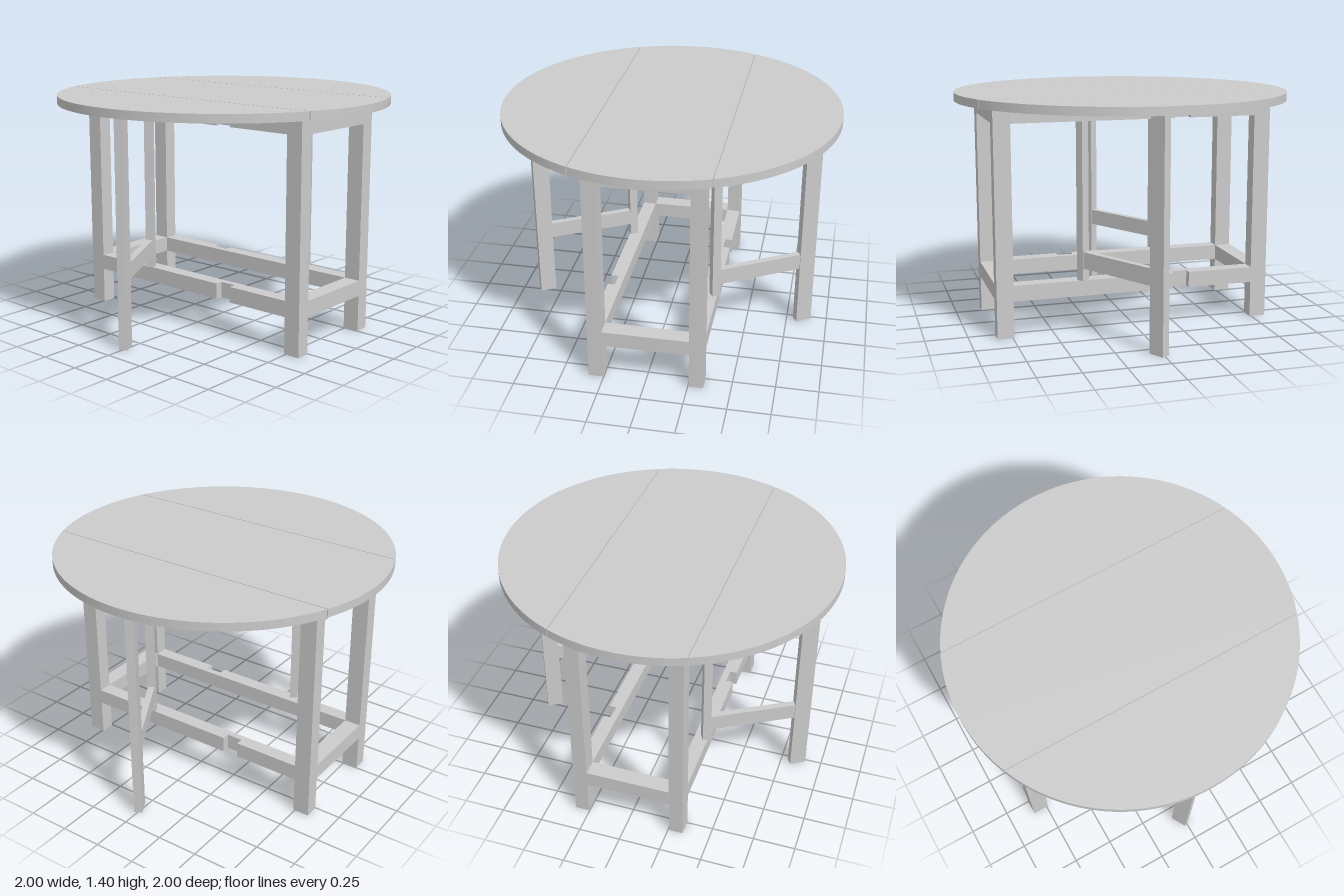
import * as THREE from 'three';
import { toCreasedNormals } from 'three/addons/utils/BufferGeometryUtils.js';

const material = new THREE.MeshStandardMaterial({ color: 0xcccccc });

const H = 1.35;                      // underside of the top
const TOP = 0.05;                    // top thickness
const SPLIT = 0.385, GAP = 0.0025;   // leaf joint position, half gap
const LEG_IN = 0.255, LEG_OUT = 0.34, LEG_Z0 = 0.74, LEG_Z1 = 0.84;
const RAILS = [[0.22, 0.315], [1.255, H]];

function add(parent, name, geometry) {
  const mesh = new THREE.Mesh(geometry, material);
  mesh.name = name;
  parent.add(mesh);
  return mesh;
}

// Box given by its min and max on each axis
function box(parent, name, x0, x1, y0, y1, z0, z1) {
  const mesh = add(parent, name, new THREE.BoxGeometry(x1 - x0, y1 - y0, z1 - z0));
  mesh.position.set((x0 + x1) / 2, (y0 + y1) / 2, (z0 + z1) / 2);
  return mesh;
}

// Plan outline (x, -z) raised from y0 by a height
function slab(parent, name, shape, y0, height, curveSegments = 1) {
  const g = new THREE.ExtrudeGeometry(shape, { depth: height, bevelEnabled: false, curveSegments });
  g.rotateX(-Math.PI / 2);
  g.translate(0, y0, 0);
  return add(parent, name, toCreasedNormals(g, 0.4));
}

// Round top in three pieces: fixed centre and two drop leaves
function buildTop() {
  const top = new THREE.Group();
  top.name = 'tableTop';

  const a = Math.acos(SPLIT - GAP);
  const centre = new THREE.Shape();
  centre.absarc(0, 0, 1, a, Math.PI - a, false);
  centre.absarc(0, 0, 1, Math.PI + a, 2 * Math.PI - a, false);
  slab(top, 'centreTop', centre, H, TOP, 32);

  const b = Math.acos(SPLIT + GAP);
  for (const [name, turn] of [['leftLeaf', 0], ['rightLeaf', Math.PI]]) {
    const leaf = new THREE.Shape();
    leaf.absarc(0, 0, 1, turn - b, turn + b, false);
    slab(top, name, leaf, H, TOP, 64);
  }
  return top;
}

// Hinge: two thin plates and a knuckle under the joint
function buildHinge(z) {
  const hinge = new THREE.Group();
  hinge.name = 'hinge';
  box(hinge, 'hingePlate', -0.03, 0.03, H - 0.004, H, -0.065, 0.065);
  const knuckle = add(hinge, 'hingeKnuckle', new THREE.CylinderGeometry(0.007, 0.007, 0.13, 12));
  knuckle.rotation.x = Math.PI / 2;
  knuckle.position.y = H - 0.007;
  hinge.position.set(SPLIT, 0, z);
  return hinge;
}

// Swinging gate: pivot stile, rail and foot, along local +x
function buildGate() {
  const gate = new THREE.Group();
  gate.name = 'gateLeg';
  box(gate, 'gateStile', -0.025, 0.025, RAILS[0][1], RAILS[1][0], -0.025, 0.025);
  box(gate, 'gateRail', 0.025, 0.552, 0.39, 0.49, -0.02, 0.02);
  box(gate, 'gateFoot', 0.552, 0.652, 0, H, -0.025, 0.025);
  gate.position.set(0.324, 0, 0.3225);
  gate.rotation.y = Math.PI / 6;
  return gate;
}

// One long side: two legs, notched rails, gate and hinges
function buildSide(name) {
  const side = new THREE.Group();
  side.name = name;
  box(side, 'leg', LEG_IN, LEG_OUT, 0, H, LEG_Z0, LEG_Z1);
  box(side, 'leg', LEG_IN, LEG_OUT, 0, H, -LEG_Z1, -LEG_Z0);

  // Rail outline with a notch that receives the closed gate foot
  const notch = 0.295;
  const outline = new THREE.Shape([
    [LEG_IN, -LEG_Z0], [LEG_OUT, -LEG_Z0], [LEG_OUT, 0.235], [notch, 0.235],
    [notch, 0.335], [LEG_OUT, 0.335], [LEG_OUT, LEG_Z0], [LEG_IN, LEG_Z0],
  ].map(([x, y]) => new THREE.Vector2(x, y)));
  for (const [y0, y1] of RAILS) slab(side, 'sideRail', outline, y0, y1 - y0);

  side.add(buildGate());
  for (const z of [-0.69, 0, 0.69]) side.add(buildHinge(z));
  return side;
}

export function createModel() {
  const table = new THREE.Group();
  table.name = 'gatelegTable';
  table.add(buildTop());

  const left = buildSide('leftSide');
  const right = buildSide('rightSide');
  right.rotation.y = Math.PI;
  table.add(left, right);

  // Short rails joining the legs at both ends
  for (const [y0, y1] of RAILS) {
    box(table, 'frontRail', -LEG_IN, LEG_IN, y0, y1, LEG_Z0, LEG_Z1);
    box(table, 'backRail', -LEG_IN, LEG_IN, y0, y1, -LEG_Z1, -LEG_Z0);
  }
  return table;
}
